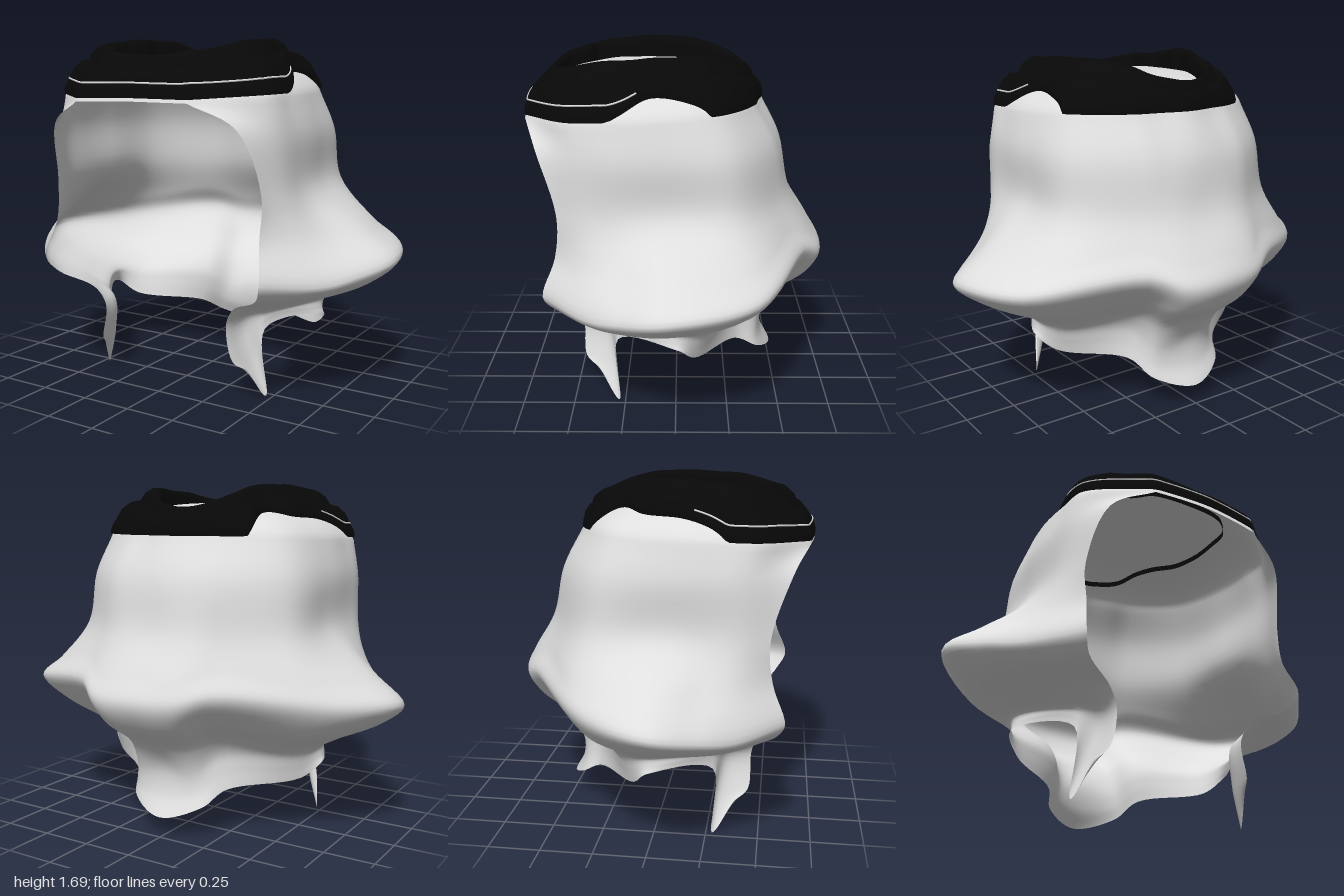
import * as THREE from 'three';
import { mergeGeometries, mergeVertices } from 'three/addons/utils/BufferGeometryUtils.js';

const V = (x, y, z) => new THREE.Vector3(x, y, z);
const spline = (pts, closed = false) => new THREE.CatmullRomCurve3(pts, closed, 'centripetal');
const CROWN = V(0, 1.6, 0.12);

// Surface through rows of points; rows run downward or outward, points run front, +x, back, -x
function grid(rows) {
  const n = rows[0].length, index = [];
  for (let j = 0; j < rows.length - 1; j++) {
    for (let i = 0; i < n - 1; i++) {
      const a = j * n + i, b = a + n;
      index.push(a, b, a + 1, a + 1, b, b + 1);
    }
  }
  const g = new THREE.BufferGeometry();
  g.setAttribute('position', new THREE.Float32BufferAttribute(rows.flat().flatMap(p => [p.x, p.y, p.z]), 3));
  g.setIndex(index);
  return g;
}

function smooth(...parts) {
  const g = mergeVertices(mergeGeometries(parts), 1e-4);
  g.computeVertexNormals();
  return g;
}

// Profiles of the flared shell, each from the rim down to the hem; the front ones serve both sides
const frontEdge = [[.3, 1.39, .7], [.5, 1.28, .625], [.57, 1, .535], [.57, .8, .55], [.6, .62, .61],
  [.56, .54, .565], [.4, .46, .48], [.35, .37, .455], [.38, .2, .445], [.42, .15, .38]];
const temple = [[.56, 1.41, .47], [.6, 1.25, .44], [.62, 1, .4], [.68, .8, .4], [.8, .6, .4],
  [.74, .54, .39], [.5, .46, .37], [.38, .38, .345], [.4, .2, .315], [.47, 0, .28]];
const cheek = [[.58, 1.415, .3], [.62, 1.25, .28], [.63, 1, .25], [.75, .8, .25], [.91, .63, .25],
  [.83, .55, .26], [.6, .47, .28], [.47, .41, .28], [.46, .37, .28], [.46, .33, .28]];
const side = [[.58, 1.42, .1], [.62, 1.25, .06], [.63, 1, .03], [.85, .8, .03], [1, .67, .03],
  [.9, .57, .03], [.71, .48, .02], [.62, .43, 0], [.62, .39, 0], [.63, .36, -.01]];
// Left rear
const backSide = [[.5, 1.43, -.2], [.56, 1.25, -.25], [.59, 1, -.28], [.74, .8, -.34], [.86, .69, -.36],
  [.75, .57, -.3], [.58, .46, -.2], [.56, .4, -.13], [.55, .34, -.11], [.55, .28, -.09]];
const groove = [[.28, 1.43, -.36], [.31, 1.25, -.45], [.33, 1, -.49], [.36, .86, -.55], [.37, .75, -.615],
  [.32, .61, -.51], [.28, .48, -.35], [.26, .4, -.31], [.26, .32, -.3], [.27, .24, -.3]];
const backLock = [[.15, 1.43, -.39], [.17, 1.25, -.49], [.18, 1, -.55], [.2, .8, -.66], [.22, .7, -.71],
  [.2, .58, -.65], [.18, .45, -.48], [.18, .32, -.42], [.19, .23, -.41], [.2, .16, -.42]];
const backCentre = [[0, 1.43, -.42], [0, 1.25, -.51], [0, 1, -.56], [0, .82, -.67], [0, .7, -.73],
  [0, .58, -.67], [0, .46, -.53], [0, .33, -.445], [0, .2, -.45], [0, .1, -.5]];
// Right rear, with a shallower flare and a narrower lock
const backSideRight = [[-.5, 1.43, -.2], [-.56, 1.25, -.25], [-.59, 1, -.28], [-.7, .8, -.32], [-.8, .68, -.29],
  [-.72, .56, -.26], [-.57, .46, -.2], [-.56, .4, -.13], [-.55, .34, -.11], [-.55, .28, -.09]];
const grooveRight = [[-.28, 1.43, -.36], [-.31, 1.25, -.45], [-.32, 1, -.49], [-.35, .85, -.54], [-.36, .74, -.595],
  [-.3, .6, -.5], [-.25, .48, -.36], [-.23, .4, -.32], [-.24, .32, -.31], [-.26, .23, -.31]];
const backLockRight = [[-.15, 1.43, -.39], [-.17, 1.25, -.49], [-.17, 1, -.55], [-.18, .8, -.66], [-.2, .7, -.69],
  [-.17, .58, -.63], [-.14, .45, -.48], [-.13, .32, -.42], [-.15, .23, -.41], [-.19, .16, -.42]];

function skirtRows() {
  const front = [frontEdge, temple, cheek, side];
  const mirrored = front.map(c => c.map(([x, y, z]) => [-x, y, z])).reverse();
  const profiles = [...front, backSide, groove, backLock, backCentre,
    backLockRight, grooveRight, backSideRight, ...mirrored];
  const columns = profiles.map(c => spline(c.map(p => V(...p))));
  const rows = [];
  for (let j = 0; j <= 54; j++) {
    rows.push(spline(columns.map(c => c.getPoint(j / 54))).getPoints(112));
  }
  return rows;
}

// Dome height, with s the fraction of the way from crown to rim
const domeY = (s, rimY) => rimY + (CROWN.y - rimY) * Math.pow(Math.max(0, 1 - s ** 3), 0.7);

function domeRows(rim) {
  const rows = [];
  for (let j = 0; j <= 20; j++) {
    const s = 1 - (1 - j / 20) ** 1.5;
    rows.push(rim.map(p => {
      const q = CROWN.clone().lerp(p, s);
      q.y = domeY(s, p.y);
      return q;
    }));
  }
  return rows;
}

// Point of the rim in the direction of p, seen from the crown
function rimToward(p, rim) {
  const dx = p.x, dz = p.z - CROWN.z;
  const cross = q => q.x * dz - (q.z - CROWN.z) * dx;
  const i = rim.findIndex((a, k) => k < rim.length - 1 && cross(a) * cross(rim[k + 1]) <= 0
    && cross(a) !== cross(rim[k + 1]) && a.x * dx + (a.z - CROWN.z) * dz > 0);
  const c0 = cross(rim[i]), c1 = cross(rim[i + 1]);
  return rim[i].clone().lerp(rim[i + 1], c0 / (c0 - c1));
}

const reach = p => Math.hypot(p.x, p.z - CROWN.z);

// Matching outlines (x, z) of the wavy band, from the front towards +x; the rim limits the outer one
const innerOutline = [[0, .57], [.15, .57], [.25, .52], [.33, .42], [.36, .2], [.35, .1], [.32, 0],
  [.24, -.1], [.19, -.17], [.12, -.28], [-.05, -.34], [-.18, -.28], [-.22, -.2], [-.26, -.08],
  [-.31, .05], [-.31, .13], [-.35, .23], [-.35, .42], [-.26, .44], [-.18, .54]];
const outerOutline = [[0, .76], [.25, .76], [.45, .7], [.58, .52], [.57, .25], [.5, .1], [.51, -.08],
  [.52, -.2], [.4, -.33], [.2, -.39], [-.05, -.45], [-.25, -.39], [-.37, -.31], [-.37, -.16],
  [-.46, -.05], [-.5, .12], [-.54, .25], [-.6, .41], [-.56, .6], [-.3, .74]];
// Band section from inner lip to outer edge: position across, height above the dome
const bandSection = [[1, -.03], [1, .06], [.94, .09], [.82, .1], [.66, .09], [.55, .06], [.47, .055],
  [.36, .075], [.2, .07], [.09, .05], [.02, .045], [-.02, .03], [-.01, .015]];
const BAND_STEPS = 160;

// One line running around the band
function bandLine(rim, t, h) {
  const outline = pts => spline(pts.map(([x, z]) => V(x, 0, z)), true).getPoints(BAND_STEPS);
  const inner = outline(innerOutline);
  return outline(outerOutline).map((o, i) => {
    const edge = rimToward(o, rim).setY(0);
    const p = (reach(o) < reach(edge) ? o : edge).clone().lerp(inner[i], t);
    const hit = rimToward(p, rim);
    const sideways = Math.abs(p.x) / reach(p);
    p.y = domeY(reach(p) / reach(hit), hit.y) + h * (h > 0.05 ? 0.7 + 0.45 * sideways : 1);
    return p;
  });
}

export function createModel() {
  const light = new THREE.MeshStandardMaterial({ color: 0xdedede, side: THREE.DoubleSide });
  light.name = 'light grey';
  const dark = new THREE.MeshStandardMaterial({ color: 0x080808, side: THREE.DoubleSide });
  dark.name = 'black';

  const group = new THREE.Group();
  const add = (name, geometry, material) => {
    const mesh = new THREE.Mesh(geometry, material);
    mesh.name = name;
    group.add(mesh);
  };

  // Flared shell, open at the face, closed above by the dome
  const skirt = skirtRows();
  const top = skirt[0];
  const brow = spline([top[top.length - 1], V(-.15, 1.393, .717), V(0, 1.395, .725), V(.15, 1.393, .717), top[0]])
    .getPoints(24);
  const rim = [...top, ...brow.slice(1)];
  add('hairShell', smooth(grid(skirt), grid(domeRows(rim))), light);

  // Wavy two-step band around the crown
  add('crownBand', smooth(grid(bandSection.map(([t, h]) => bandLine(rim, t, h)))), dark);

  // Thin pale gap between the band's steps, around the front
  const line = bandLine(rim, 0.09, 0.05).slice(0, BAND_STEPS);
  const seam = [...line.slice(124), ...line.slice(0, 37)];
  add('bandGap', new THREE.TubeGeometry(spline(seam), 120, 0.0045, 5), light);
  return group;
}
